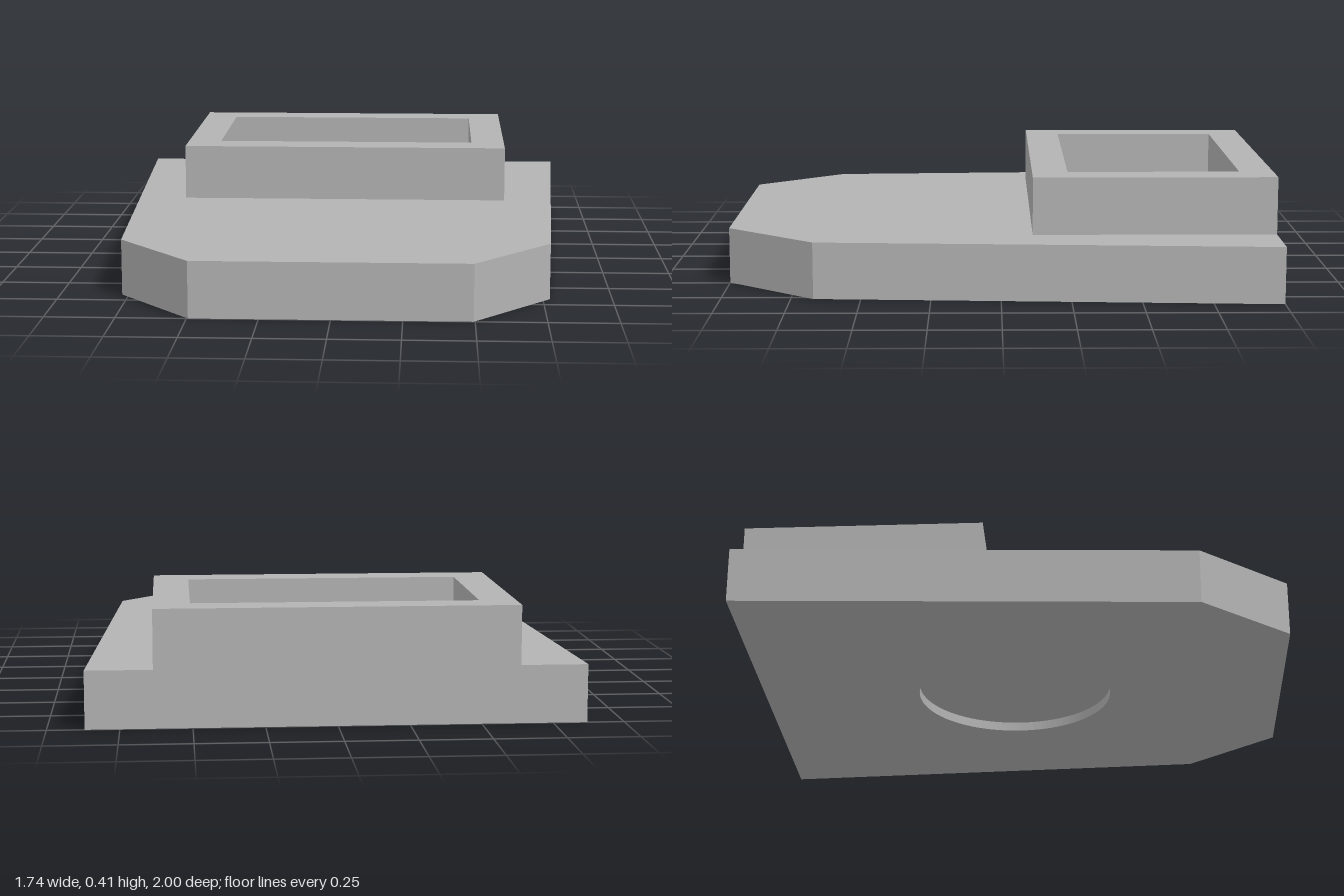
import * as THREE from 'three';

const grey = new THREE.MeshStandardMaterial({ color: 0xb3b3b3 });
grey.name = 'plain grey';

// Closed outline from [x, z] points; shape y is -z so it lies flat after rotation
const outline = (points, Type = THREE.Shape) =>
  new Type(points.map(([x, z]) => new THREE.Vector2(x, -z)));

const rectangle = (halfWidth, zBack, zFront) => [
  [-halfWidth, zFront], [halfWidth, zFront], [halfWidth, zBack], [-halfWidth, zBack],
];

// Horizontal slab between two heights, with an optional hole
function slab(name, points, yBottom, yTop, hole) {
  const shape = outline(points);
  if (hole) shape.holes.push(hole);
  const geometry = new THREE.ExtrudeGeometry(shape, {
    depth: yTop - yBottom, bevelEnabled: false, curveSegments: 64,
  });
  geometry.rotateX(-Math.PI / 2).translate(0, yBottom, 0);
  const mesh = new THREE.Mesh(geometry, grey);
  mesh.name = name;
  return mesh;
}

export function createModel() {
  const group = new THREE.Group();
  group.name = 'basePlateWithSocket';

  // Tapered plate with two chamfered front corners
  const plate = [
    [-0.495, 1], [0.495, 1], [0.775, 0.67], [0.87, -1], [-0.87, -1], [-0.775, 0.67],
  ];
  const recessDepth = 0.035, pocketFloor = 0.1, plateTop = 0.205, collarTop = 0.415;

  // Shallow round recess in the underside
  const recess = new THREE.Path();
  recess.absarc(0, 0.03, 0.37, 0, Math.PI * 2, true);

  // Rectangular pocket through the collar and into the plate
  const pocket = () => outline(rectangle(0.505, -0.875, -0.245), THREE.Path);

  group.add(
    slab('plateUnderside', plate, 0, recessDepth, recess),
    slab('plateCore', plate, recessDepth, pocketFloor),
    slab('plateTop', plate, pocketFloor, plateTop, pocket()),
    slab('socketCollar', rectangle(0.635, -1, -0.115), plateTop, collarTop, pocket()),
  );
  return group;
}
